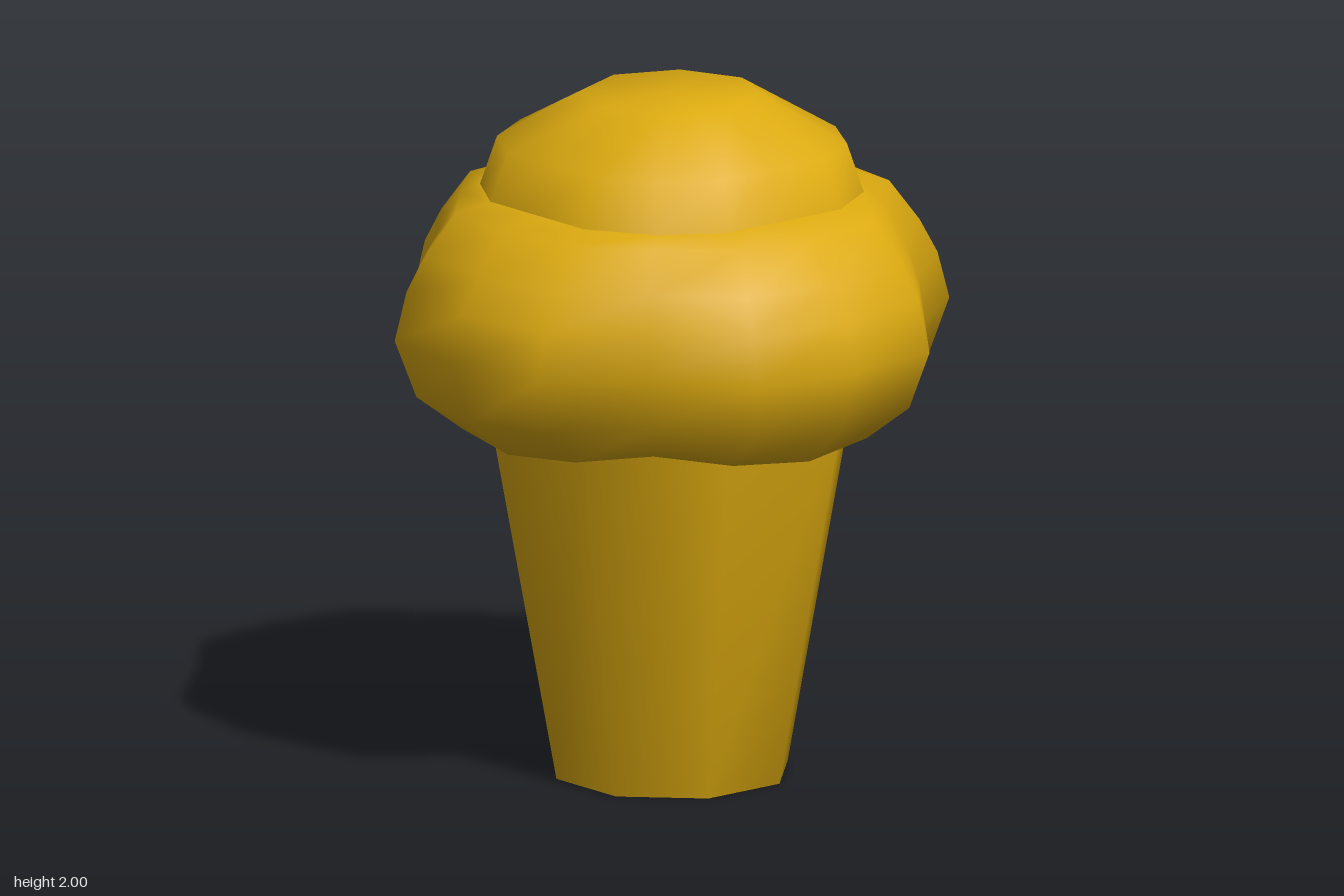
import * as THREE from 'three';

// Skin a stack of equal-length closed rings (bottom to top), with optional end caps.
function loft(rings, capBottom, capTop) {
  const n = rings[0].length;
  const pos = rings.flat(2);
  const index = [];
  for (let r = 0; r < rings.length - 1; r++) {
    for (let i = 0; i < n; i++) {
      const a = r * n + i, b = r * n + (i + 1) % n;
      index.push(a, b, b + n, a, b + n, a + n);
    }
  }
  const cap = (r, up) => {
    const c = pos.length / 3;
    pos.push(0, rings[r][0][1], 0);
    for (let i = 0; i < n; i++) {
      const a = r * n + i, b = r * n + (i + 1) % n;
      if (up) index.push(c, a, b); else index.push(c, b, a);
    }
  };
  if (capBottom) cap(0, false);
  if (capTop) cap(rings.length - 1, true);
  const g = new THREE.BufferGeometry();
  g.setAttribute('position', new THREE.Float32BufferAttribute(pos, 3));
  g.setIndex(index);
  g.computeVertexNormals();
  return g;
}

// Sixteen-point ring with four-fold symmetry:
// axis reach, shoulder (along, across), diagonal coordinate, and the three heights.
function lobedRing(axis, along, across, diag, yAxis, yShoulder = yAxis, yDiag = yAxis) {
  const ring = [];
  for (let q = 0; q < 4; q++) {
    const c = Math.round(Math.cos(q * Math.PI / 2)), s = Math.round(Math.sin(q * Math.PI / 2));
    const quarter = [[axis, 0, yAxis], [along, across, yShoulder], [diag, diag, yDiag], [across, along, yShoulder]];
    for (const [u, v, y] of quarter) ring.push([u * c - v * s, y, -(u * s + v * c)]);
  }
  return ring;
}

// Octagon with flat sides facing the axes.
function octagon(apothem, y) {
  const r = apothem / Math.cos(Math.PI / 8);
  return Array.from({ length: 8 }, (_, i) => {
    const t = (i + 0.5) * Math.PI / 4;
    return [r * Math.cos(t), y, -r * Math.sin(t)];
  });
}

export function createModel() {
  const group = new THREE.Group();
  const gold = new THREE.MeshStandardMaterial({ color: 0xdcaa10 });
  gold.name = 'gold';
  const add = (name, geometry) => {
    const mesh = new THREE.Mesh(geometry, gold);
    mesh.name = name;
    group.add(mesh);
  };

  // Tapered eight-sided cup, closed at the base
  add('cup', loft([octagon(0.32, 0), octagon(0.515, 1.15)], true, false));

  // Puffed ring with four lobes
  add('lobedRing', loft([
    lobedRing(0.36, 0.34, 0.14, 0.27, 1.1),
    lobedRing(0.61, 0.57, 0.25, 0.43, 1.03, 1.05, 1.08),
    lobedRing(0.755, 0.71, 0.29, 0.47, 1.15, 1.16, 1.18),
    lobedRing(0.82, 0.77, 0.315, 0.505, 1.33),
    lobedRing(0.78, 0.73, 0.31, 0.5, 1.47),
    lobedRing(0.725, 0.68, 0.29, 0.475, 1.57),
    lobedRing(0.63, 0.6, 0.25, 0.43, 1.69),
    lobedRing(0.5, 0.5, 0.2, 0.385, 1.72),
  ], false, false));

  // Faceted crown on top
  add('crown', loft([
    lobedRing(0.505, 0.505, 0.205, 0.39, 1.715),
    lobedRing(0.455, 0.455, 0.185, 0.355, 1.86),
    lobedRing(0.26, 0.222, 0.092, 0.184, 2),
  ], false, true));

  return group;
}
